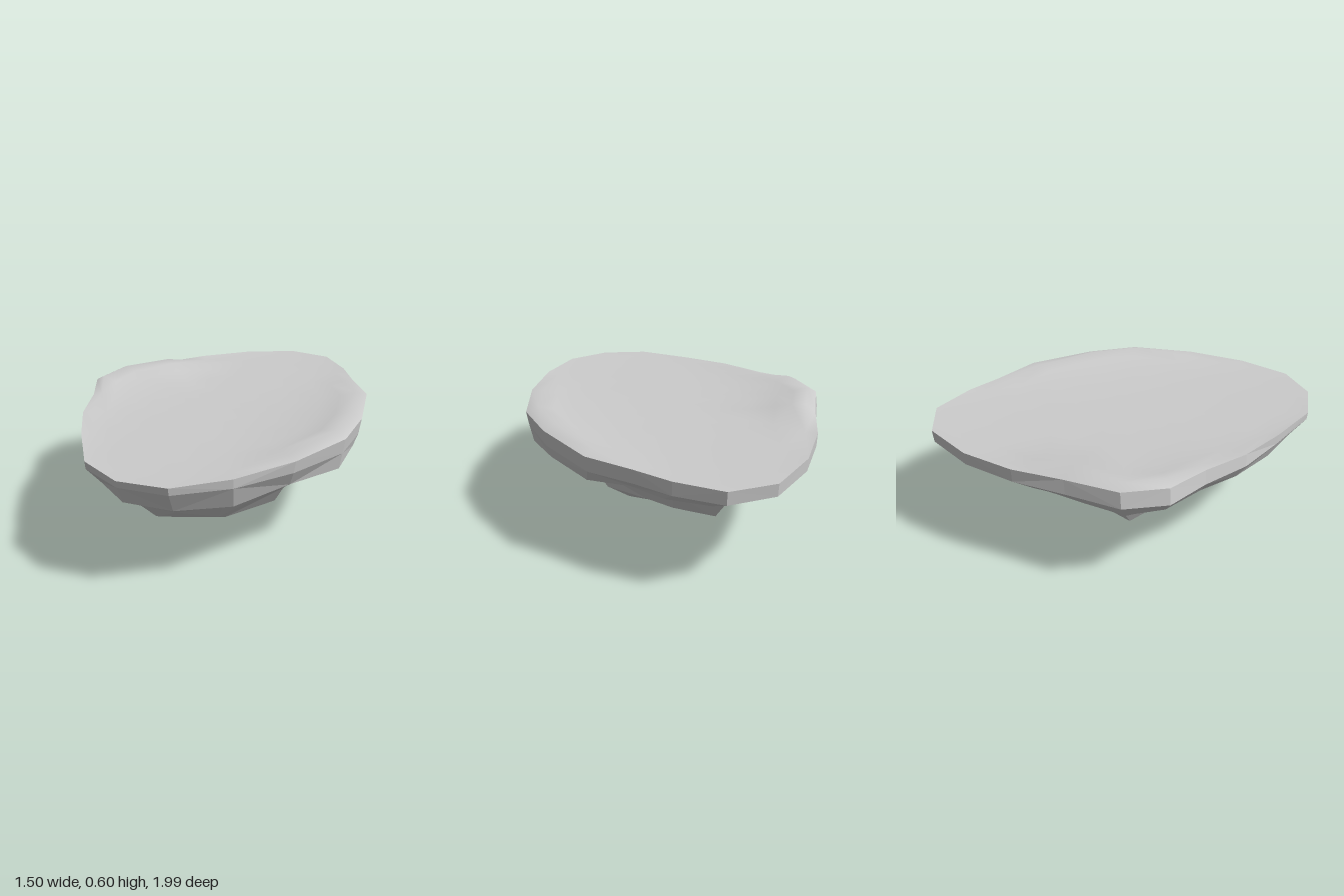
import * as THREE from 'three';
import { mergeVertices } from 'three/addons/utils/BufferGeometryUtils.js';

// Rim outline seen from above, as [x, z]
const OUTLINE = [
  [0.05, -1], [0.28, -0.97], [0.44, -0.79], [0.54, -0.62], [0.68, -0.41],
  [0.75, -0.06], [0.75, 0.21], [0.62, 0.52], [0.44, 0.78], [0.23, 0.96],
  [0, 0.99], [-0.22, 0.89], [-0.4, 0.65], [-0.55, 0.43], [-0.64, 0.2],
  [-0.75, 0], [-0.73, -0.22], [-0.56, -0.44], [-0.4, -0.66], [-0.2, -0.86],
];

// Underside levels: height, reach to +x, -x, +z, -z, and how deep the gullies cut
const LEVELS = [
  [0.42, 0.71, 0.68, 0.93, 0.85, 0],
  [0.34, 0.56, 0.53, 0.82, 0.67, 0.08],
  [0.23, 0.44, 0.4, 0.68, 0.55, 0.22],
  [0.12, 0.37, 0.31, 0.48, 0.44, 0.28],
  [0.045, 0.27, 0.23, 0.24, 0.26, 0.2],
];

// Small seeded random number in -1..1
let seed = 7;
const rand = () => {
  seed = (seed * 16807) % 2147483647;
  return (seed / 2147483647) * 2 - 1;
};

const gauss = (d, w) => Math.exp(-(d * d) / (w * w));
const angleGap = (a, b) => Math.atan2(Math.sin(a - b), Math.cos(a - b));

// Height of the gently dished top, with a small mound at the back right
const topHeight = (x, z) =>
  0.542 + 0.055 * Math.min(1, Math.abs(x) / 0.7) ** 4 +
  0.012 * Math.min(1, Math.abs(z)) ** 2 +
  0.04 * gauss(Math.hypot(x + 0.5, z + 0.36), 0.16);

// Joins rings from top to bottom; a ring may have half as many points as the one above
function skin(rings) {
  const out = [];
  const tri = (...pts) => pts.forEach((p) => out.push(...p));
  for (let k = 0; k + 1 < rings.length; k++) {
    const a = rings[k], b = rings[k + 1];
    const A = (i) => a[i % a.length], B = (i) => b[i % b.length];
    if (a.length === 1) b.forEach((_, i) => tri(a[0], B(i + 1), B(i)));
    else if (b.length === 1) a.forEach((_, i) => tri(A(i), A(i + 1), b[0]));
    else if (a.length === 2 * b.length) {
      b.forEach((_, i) => {
        tri(A(2 * i), A(2 * i + 1), B(i));
        tri(A(2 * i + 1), B(i + 1), B(i));
        tri(A(2 * i + 1), A(2 * i + 2), B(i + 1));
      });
    } else {
      a.forEach((_, i) => {
        if ((i + k) % 2) {
          tri(A(i), A(i + 1), B(i + 1));
          tri(A(i), B(i + 1), B(i));
        } else {
          tri(A(i), A(i + 1), B(i));
          tri(A(i + 1), B(i + 1), B(i));
        }
      });
    }
  }
  const geo = new THREE.BufferGeometry();
  geo.setAttribute('position', new THREE.Float32BufferAttribute(out, 3));
  return geo;
}

// One jagged ring of the rocky underside
function rockRing([y, xp, xn, zp, zn, cut], level) {
  const step = level < 2 ? 1 : 2;
  return OUTLINE.filter((_, i) => i % step === 0).map(([x, z]) => {
    const a = Math.atan2(z, x);
    // Gullies at the front right and the back left
    const gully = gauss(angleGap(a, 2.2), 0.4) + gauss(angleGap(a, -0.75), 0.35);
    const s = 1 - cut * gully + 0.03 * rand();
    return [
      x * s * (x > 0 ? xp : xn) / 0.75,
      y + 0.018 * rand() + 0.12 * cut * gully,
      z * s * (z > 0 ? zp : zn),
    ];
  });
}

export function createModel() {
  const group = new THREE.Group();
  group.name = 'floatingIsland';

  // Rim: top edge and the slightly lower, folded-under edge
  const rimTop = OUTLINE.map(([x, z]) => [
    x < -0.5 ? x * 0.98 : x, 0.553 + 0.018 * (x / 0.75) ** 2, z,
  ]);
  const rimLow = OUTLINE.map(([x, z]) => [
    x > 0.5 ? x * 0.985 : x, 0.49 + 0.03 * Math.max(0, z), z * 0.995,
  ]);

  // Smooth top surface
  const topRings = [0.25, 0.5, 0.7, 0.82, 0.92].map((s) =>
    OUTLINE.map(([x, z]) => [x * s, topHeight(x * s, z * s), z * s]));
  const topGeo = mergeVertices(skin([[[0, 0.542, 0]], ...topRings, rimTop]));
  topGeo.computeVertexNormals();
  const top = new THREE.Mesh(topGeo, new THREE.MeshStandardMaterial({ color: 0xcccccc }));
  top.name = 'topSurface';
  group.add(top);

  // Faceted rim and rock below
  const rockMaterial = new THREE.MeshStandardMaterial({ color: 0xcccccc, flatShading: true });
  const rockGeo = skin([rimTop, rimLow, ...LEVELS.map(rockRing), [[0.02, 0, -0.08]]]);
  rockGeo.computeVertexNormals();
  const rock = new THREE.Mesh(rockGeo, rockMaterial);
  rock.name = 'rockyUnderside';
  group.add(rock);

  return group;
}
